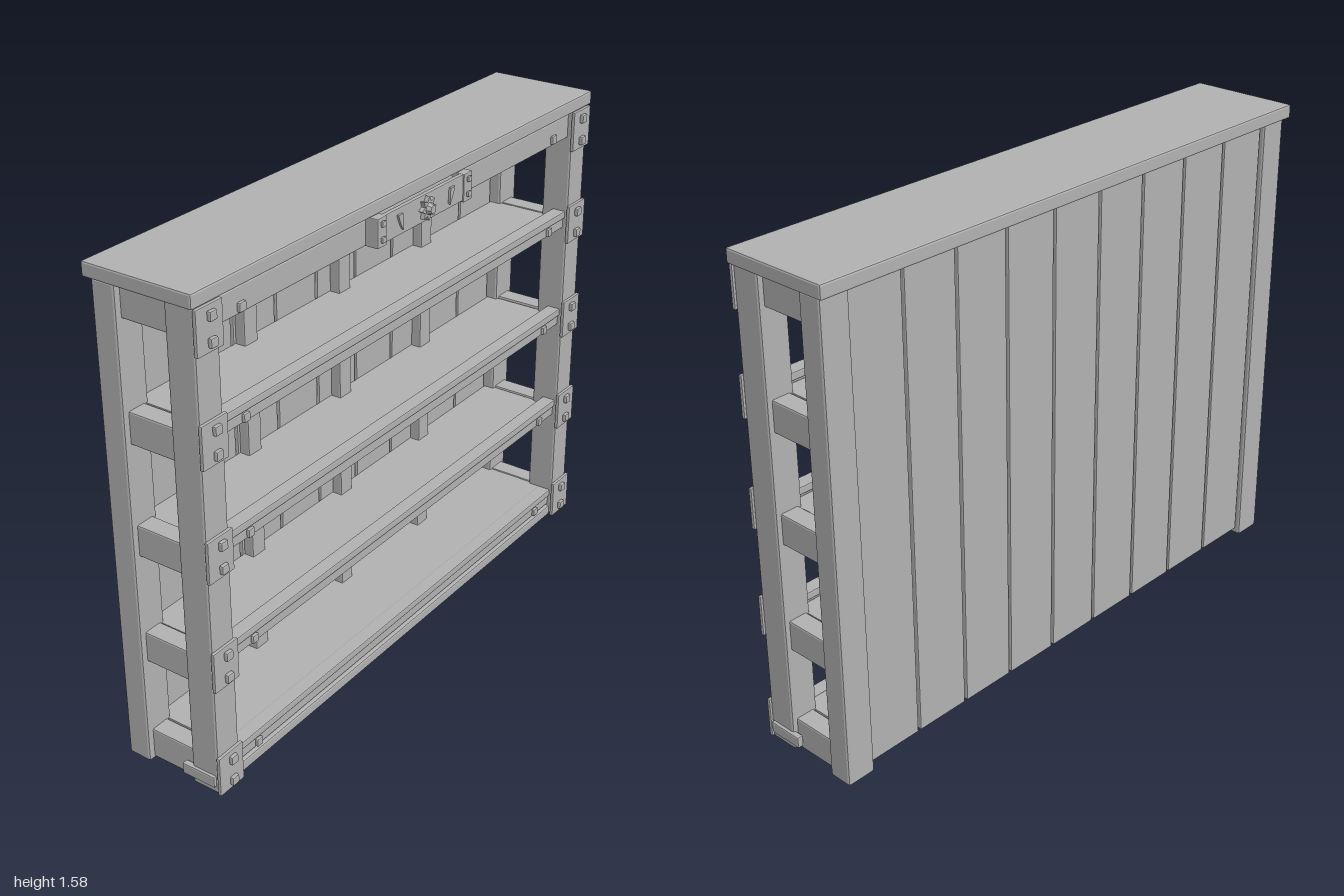
import * as THREE from 'three';
import { RoundedBoxGeometry } from 'three/addons/geometries/RoundedBoxGeometry.js';

export function createModel() {
  const root = new THREE.Group();
  root.name = 'shelf';
  const grey = new THREE.MeshStandardMaterial({ color: 0xb2b2b2 });
  grey.name = 'plain grey';

  const add = (name, geometry) => {
    const mesh = new THREE.Mesh(geometry, grey);
    mesh.name = name;
    root.add(mesh);
    return mesh;
  };
  // Box from its limits, with small flat chamfers where bevel > 0
  const box = (name, x0, x1, y0, y1, z0, z1, bevel = 0) => {
    const w = x1 - x0, h = y1 - y0, d = z1 - z0;
    let g;
    if (bevel) {
      g = new RoundedBoxGeometry(w, h, d, 1, bevel).toNonIndexed();
      g.computeVertexNormals();
    } else g = new THREE.BoxGeometry(w, h, d);
    g.translate((x0 + x1) / 2, (y0 + y1) / 2, (z0 + z1) / 2);
    return add(name, g);
  };
  // Square stud standing on a front face
  const stud = (x, y, z, s, depth) =>
    box('stud', x - s / 2, x + s / 2, y - s / 2, y + s / 2, z, z + depth, 0.004);
  // Box repeated on the left and the right
  const pair = (name, x0, x1, ...rest) => {
    box(name, x0, x1, ...rest);
    box(name, -x1, -x0, ...rest);
  };

  // Top slab
  box('topBoard', -1, 1, 1.535, 1.58, -0.205, 0.163, 0.006);

  // Corner posts
  pair('frontPost', 0.892, 0.985, 0.008, 1.536, 0.058, 0.157, 0.008);
  pair('rearPost', 0.89, 0.988, 0.005, 1.536, -0.186, -0.105, 0.008);

  // Side rungs between the posts
  for (const y of [0.012, 0.355, 0.71, 1.062, 1.432])
    pair('sideRung', 0.905, 0.968, y, y + 0.1, -0.12, 0.07, 0.005);

  // Back planks with narrow gaps
  const step = 1.78 / 9;
  for (let i = 0; i < 9; i++) {
    const x = -0.89 + i * step;
    box('backPlank', x + 0.005, x + step - 0.005, 0.03, 1.536, -0.172, -0.142, 0.004);
  }

  // Uprights on the inside of the back
  for (const x of [-0.453, -0.003, 0.442])
    box('backUpright', x - 0.029, x + 0.029, 0.09, 1.53, -0.143, -0.107, 0.004);

  // Shelves with a front lip and a studded strip under it
  for (const y of [0.112, 0.48, 0.833, 1.19]) {
    const top = y === 0.112 ? 0.11 : y - 0.03;
    box('shelfBoard', -0.9, 0.9, top - 0.025, top, -0.142, 0.12);
    box('shelfLip', -0.892, 0.892, y - 0.025, y, 0.1, 0.148, 0.004);
    box('shelfStrip', -0.892, 0.892, y - 0.06, y - 0.027, 0.1, 0.142, 0.004);
    for (const x of [-0.79, 0.79]) stud(x, y - 0.043, 0.141, 0.026, 0.012);
  }

  // Top front rail
  box('topRail', -0.892, 0.892, 1.445, 1.525, 0.11, 0.142, 0.005);
  for (const x of [-0.79, 0.79]) stud(x, 1.467, 0.141, 0.028, 0.012);

  // Base rails
  box('frontBaseRail', -0.892, 0.892, 0.01, 0.046, 0.07, 0.15, 0.006);
  box('rearBaseRail', -0.892, 0.892, 0.015, 0.08, -0.14, -0.105, 0.005);

  // Studded plates on the front posts
  for (const y of [1.467, 1.144, 0.795, 0.437, 0.075]) {
    pair('postPlate', 0.886, 0.99, y - 0.066, y + 0.066, 0.155, 0.167, 0.003);
    for (const x of [-0.935, 0.935])
      for (const dy of [-0.037, 0.037]) stud(x, y + dy, 0.166, 0.028, 0.014);
  }

  // Foot cleats on the outer sides and pads below the posts
  pair('footCleat', 0.975, 0.995, 0.033, 0.07, 0.028, 0.147, 0.004);
  pair('frontFoot', 0.905, 0.975, 0, 0.012, 0.07, 0.145);
  pair('rearFoot', 0.905, 0.975, 0, 0.012, -0.175, -0.12);

  // Centre plate with backing tabs and studs
  box('centrePlate', -0.24, 0.24, 1.45, 1.533, 0.165, 0.18, 0.003);
  for (const x of [-0.22, 0.22]) {
    box('plateTab', x - 0.022, x + 0.022, 1.445, 1.534, 0.13, 0.184, 0.003);
    for (const y of [1.468, 1.515]) stud(x, y, 0.183, 0.018, 0.01);
  }

  // Pointed rosette in the middle of the plate
  const star = new THREE.Shape();
  for (let i = 0; i < 16; i++) {
    const r = i % 2 ? 0.023 : 0.037, a = (i * Math.PI) / 8;
    star[i ? 'lineTo' : 'moveTo'](r * Math.cos(a), r * Math.sin(a));
  }
  const rosette = new THREE.ExtrudeGeometry(star, { depth: 0.014, bevelEnabled: false });
  add('rosette', rosette).position.set(0, 1.492, 0.18);
  const knob = new THREE.CylinderGeometry(0.013, 0.02, 0.016, 8).toNonIndexed();
  knob.computeVertexNormals();
  knob.rotateX(Math.PI / 2);
  add('rosetteKnob', knob).position.set(0, 1.492, 0.2);

  // Curved spikes on either side of the rosette
  for (const s of [-1, 1]) {
    const spike = new THREE.Shape();
    spike.moveTo(s * 0.145, 1.515);
    spike.quadraticCurveTo(s * 0.135, 1.485, s * 0.12, 1.465);
    spike.quadraticCurveTo(s * 0.118, 1.49, s * 0.122, 1.515);
    spike.closePath();
    const g = new THREE.ExtrudeGeometry(spike, { depth: 0.008, bevelEnabled: false, curveSegments: 5 });
    add('curvedSpike', g).position.z = 0.179;
  }
  return root;
}
